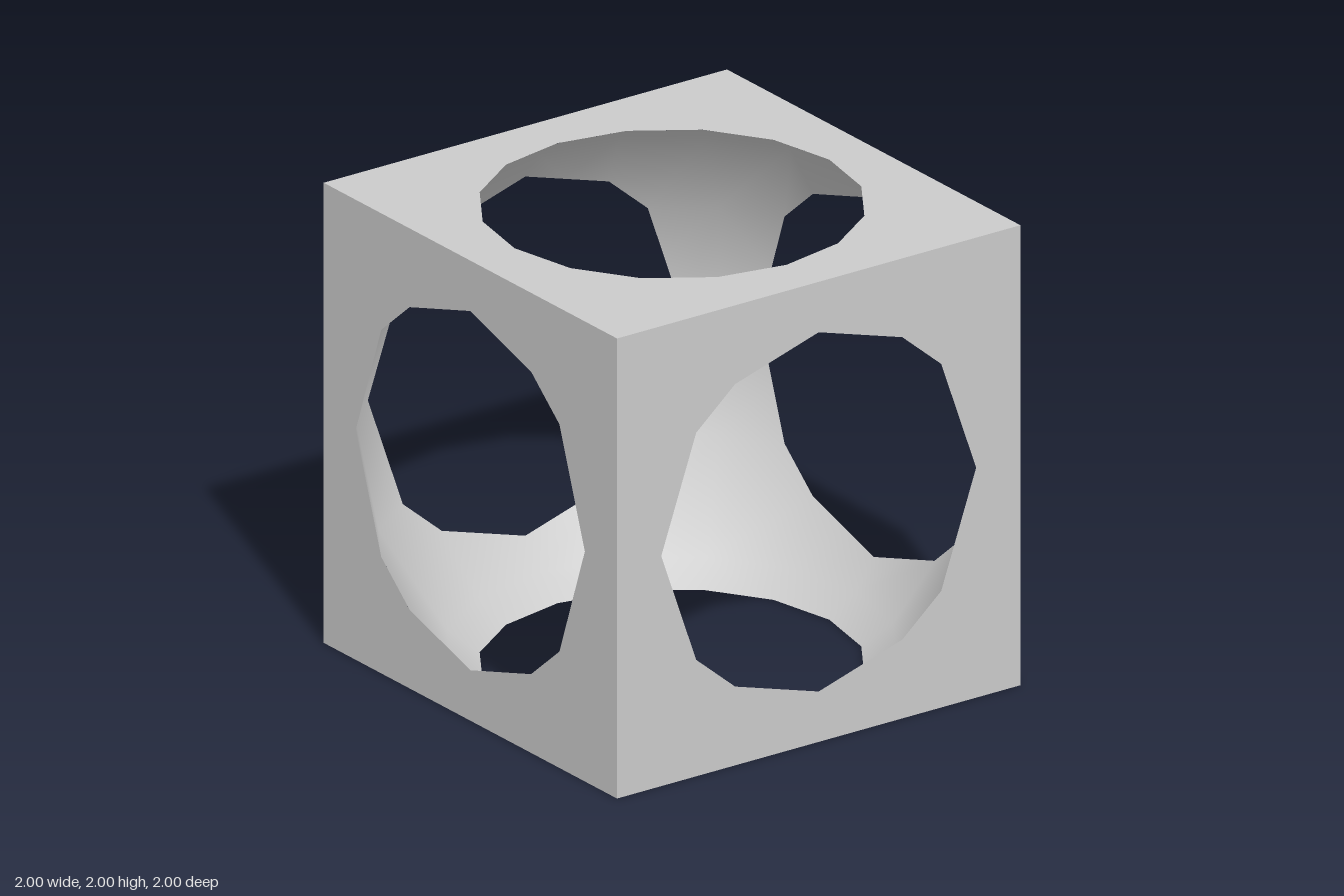
import * as THREE from 'three';

const RADIUS = 1.29; // faceted spherical hollow, larger than the cube's half side

// Keep the part of a convex polygon where sign * p[axis] <= 1
function clip(poly, axis, sign) {
  const out = [];
  poly.forEach((a, i) => {
    const b = poly[(i + 1) % poly.length];
    const da = 1 - sign * a.getComponent(axis);
    const db = 1 - sign * b.getComponent(axis);
    if (da >= 0) out.push(a);
    if (da * db < 0) out.push(a.clone().lerp(b, da / (da - db)));
  });
  return out;
}

// Sphere wall trimmed to the cube, facing inwards with smooth normals
function hollowGeometry() {
  const src = new THREE.SphereGeometry(RADIUS, 16, 8).toNonIndexed().attributes.position;
  const positions = [], normals = [];
  for (let i = 0; i < src.count; i += 3) {
    let poly = [0, 1, 2].map(k => new THREE.Vector3().fromBufferAttribute(src, i + k));
    for (let axis = 0; axis < 3; axis++)
      for (const sign of [-1, 1]) poly = clip(poly, axis, sign);
    for (let k = 1; k + 1 < poly.length; k++)
      for (const p of [poly[0], poly[k + 1], poly[k]]) {
        positions.push(p.x, p.y, p.z);
        const n = p.clone().normalize().negate();
        normals.push(n.x, n.y, n.z);
      }
  }
  const g = new THREE.BufferGeometry();
  g.setAttribute('position', new THREE.Float32BufferAttribute(positions, 3));
  g.setAttribute('normal', new THREE.Float32BufferAttribute(normals, 3));
  return g;
}

// Square face with a polygonal opening, one unit out from the centre
function faceGeometry(hole) {
  const shape = new THREE.Shape([[-1, -1], [1, -1], [1, 1], [-1, 1]].map(p => new THREE.Vector2(...p)));
  shape.holes.push(new THREE.Path(hole));
  return new THREE.ShapeGeometry(shape).translate(0, 0, 1);
}

export function createModel() {
  const model = new THREE.Group();
  model.name = 'hollowCube';
  const material = new THREE.MeshStandardMaterial({ color: 0xcccccc });

  const add = (name, geometry, rx = 0, ry = 0) => {
    const mesh = new THREE.Mesh(geometry, material);
    mesh.name = name;
    mesh.position.y = 1;
    mesh.rotation.set(rx, ry, 0);
    model.add(mesh);
  };

  // Side opening: one quarter outline mirrored into a 12-gon
  const quarter = [[0.7807, 0], [0.6074, 0.4937], [0.4142, 0.6575], [0, 0.7808]];
  const upper = [...quarter, ...quarter.slice(0, 3).reverse().map(([x, y]) => [-x, y])];
  const lower = upper.slice(1, -1).reverse().map(([x, y]) => [x, -y]);
  const sideHole = [...upper, ...lower].map(p => new THREE.Vector2(...p));

  // Top and bottom opening: regular 16-gon
  const capHole = Array.from({ length: 16 }, (_, i) => {
    const a = i * Math.PI / 8;
    return new THREE.Vector2(0.7808 * Math.cos(a), 0.7808 * Math.sin(a));
  });

  const side = faceGeometry(sideHole), cap = faceGeometry(capHole);
  ['frontFace', 'leftFace', 'backFace', 'rightFace'].forEach((name, i) => add(name, side, 0, i * Math.PI / 2));
  add('topFace', cap, -Math.PI / 2);
  add('bottomFace', cap, Math.PI / 2);

  // Curved inner wall
  add('innerWall', hollowGeometry());
  return model;
}
